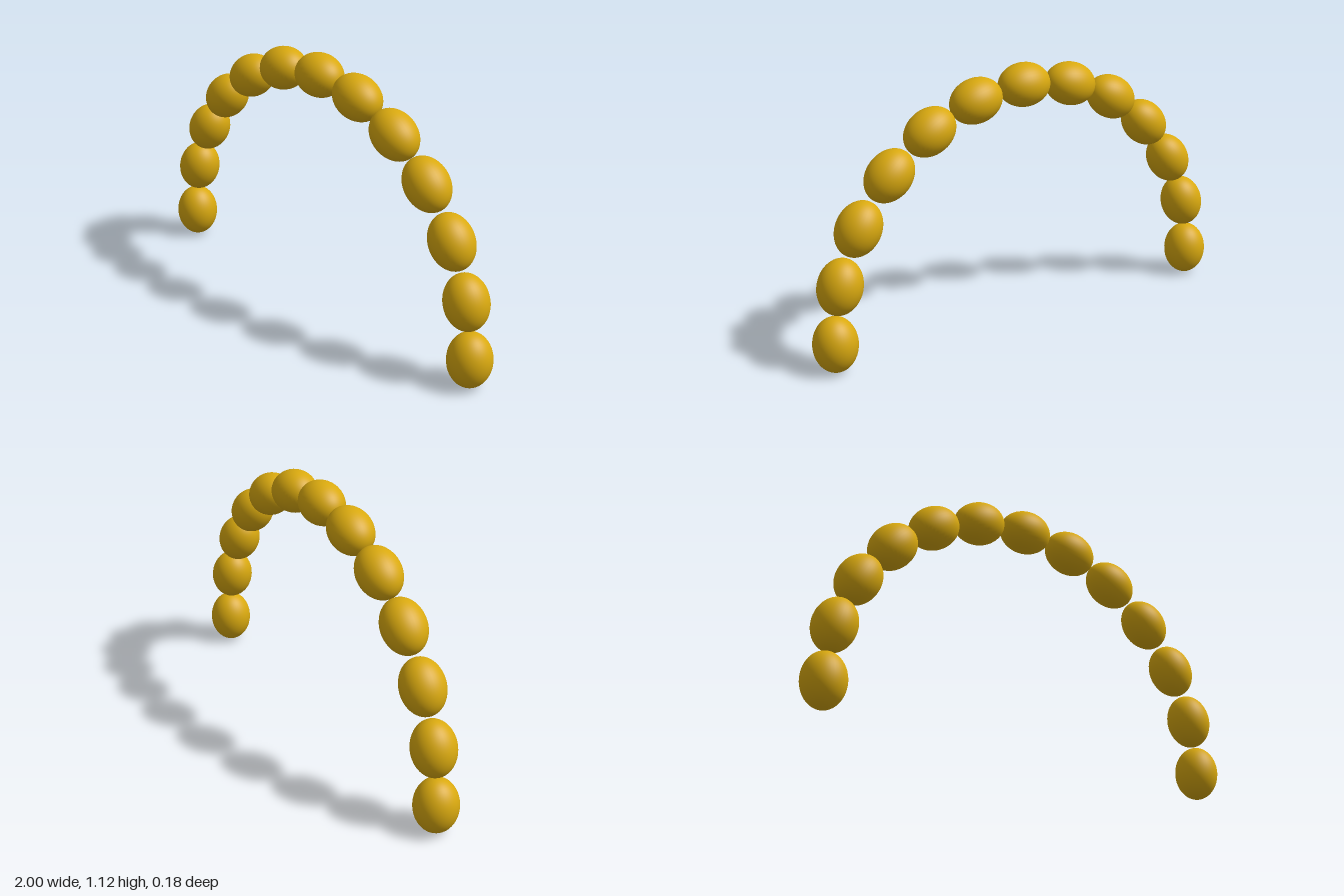
import * as THREE from 'three';

export function createModel() {
  const model = new THREE.Group();
  model.name = 'beadArch';

  const material = new THREE.MeshStandardMaterial({ color: 0xd9a90f });
  const count = 13;
  const radius = 0.909;
  const centreY = 0.117;

  // One egg-shaped bead, stretched along the arch (local y)
  const beadGeometry = new THREE.SphereGeometry(1, 40, 28);
  beadGeometry.scale(0.091, 0.115, 0.091);

  // Beads spaced evenly round a half circle, each turned to follow it
  for (let i = 0; i < count; i++) {
    const angle = (i / (count - 1)) * Math.PI;
    const bead = new THREE.Mesh(beadGeometry, material);
    bead.name = `bead${i + 1}`;
    bead.position.set(Math.cos(angle) * radius, centreY + Math.sin(angle) * radius, 0);
    bead.rotation.z = angle;
    model.add(bead);
  }

  return model;
}
